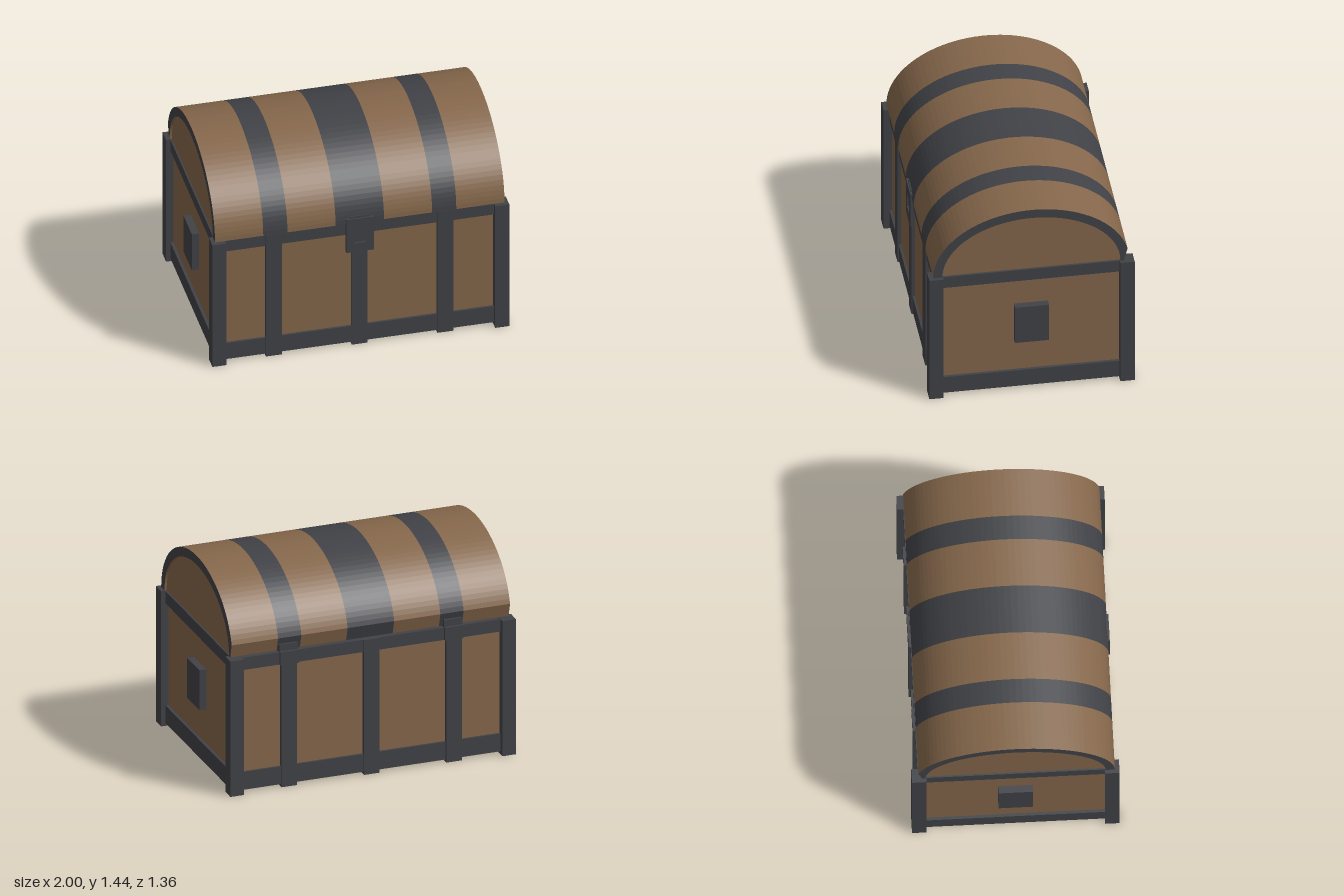
import * as THREE from 'three';

const wood = new THREE.MeshStandardMaterial({ color: 0x85674b });
const iron = new THREE.MeshStandardMaterial({ color: 0x414247 });

const LID_Y = 0.96;
const CUT = 0.2; // angle at which the rear of the lid is bevelled off

// Box given by its min / max extents
function box(parent, name, mat, [x0, x1], [y0, y1], [z0, z1]) {
  const mesh = new THREE.Mesh(new THREE.BoxGeometry(x1 - x0, y1 - y0, z1 - z0), mat);
  mesh.position.set((x0 + x1) / 2, (y0 + y1) / 2, (z0 + z1) / 2);
  mesh.name = name;
  parent.add(mesh);
}

// Points of an elliptical arch in (z, y), from front to back
function arch(a, b, end, n = 44) {
  return Array.from({ length: n + 1 }, (_, i) => {
    const t = (end * i) / n;
    return new THREE.Vector2(a * Math.cos(t), LID_Y + b * Math.sin(t));
  });
}

// Extrude a (z, y) profile along x from x0 to x1
function extrudeX(parent, name, points, x0, x1, mat) {
  const geo = new THREE.ExtrudeGeometry(new THREE.Shape(points), { depth: x1 - x0, bevelEnabled: false });
  geo.rotateY(-Math.PI / 2).translate(x1, 0, 0);
  const mesh = new THREE.Mesh(geo, mat);
  mesh.name = name;
  parent.add(mesh);
}

function createLid() {
  const lid = new THREE.Group();
  lid.name = 'lid';
  const outer = [...arch(0.65, 0.48, Math.PI - CUT), new THREE.Vector2(-0.61, LID_Y)];

  // Alternating planks and iron bands, flush with each other
  const stops = [-0.96, -0.65, -0.487, -0.163, 0.163, 0.487, 0.65, 0.96];
  for (let i = 0; i < stops.length - 1; i++) {
    const isBand = i % 2 === 1;
    extrudeX(lid, isBand ? 'lidBand' : 'lidPlank', outer, stops[i], stops[i + 1], isBand ? iron : wood);
  }

  // End rims: iron face, wooden outside, framing the slightly recessed end panel
  const rim = [...outer, ...arch(0.59, 0.415, Math.PI).reverse()];
  extrudeX(lid, 'lidRimLeft', rim, 0.96, 0.975, [iron, wood]);
  extrudeX(lid, 'lidRimRight', rim, -0.975, -0.96, [iron, wood]);
  return lid;
}

function createBody() {
  const body = new THREE.Group();
  body.name = 'body';
  box(body, 'woodenBox', wood, [-0.95, 0.95], [0.012, 0.953], [-0.625, 0.625]);

  // Corner posts
  for (const sx of [-1, 1]) {
    for (const sz of [-1, 1]) {
      box(body, 'cornerPost', iron,
        sx > 0 ? [0.905, 1] : [-1, -0.905], [0, 0.96],
        sz > 0 ? [0.585, 0.68] : [-0.68, -0.585]);
    }
  }

  // Horizontal bands on all four walls
  for (const [name, y] of [['lowerBand', [0.02, 0.145]], ['upperBand', [0.87, 0.957]]]) {
    box(body, name + 'Front', iron, [-0.92, 0.92], y, [0.6, 0.64]);
    box(body, name + 'Back', iron, [-0.92, 0.92], y, [-0.64, -0.6]);
    box(body, name + 'Left', iron, [0.93, 0.97], y, [-0.6, 0.6]);
    box(body, name + 'Right', iron, [-0.97, -0.93], y, [-0.6, 0.6]);
  }

  // Upright straps, front and back
  for (const x of [-0.577, 0, 0.577]) {
    const span = [x - 0.054, x + 0.054];
    box(body, 'frontStrap', iron, span, [0.002, 0.957], [0.6, 0.648]);
    box(body, 'backStrap', iron, span, [0.002, 0.959], [-0.653, -0.6]);
  }

  // Handle blocks on the ends
  box(body, 'handleLeft', iron, [0.94, 0.999], [0.39, 0.675], [-0.113, 0.113]);
  box(body, 'handleRight', iron, [-0.999, -0.94], [0.39, 0.675], [-0.113, 0.113]);
  return body;
}

function createLock() {
  const lock = new THREE.Group();
  lock.name = 'lock';
  // Plate with a square keyhole recess
  const plate = new THREE.Shape([[-0.093, 0.74], [0.093, 0.74], [0.093, 1], [-0.093, 1]]
    .map(([x, y]) => new THREE.Vector2(x, y)));
  plate.holes.push(new THREE.Path([[-0.04, 0.81], [-0.04, 0.91], [0.04, 0.91], [0.04, 0.81]]
    .map(([x, y]) => new THREE.Vector2(x, y))));
  const mesh = new THREE.Mesh(new THREE.ExtrudeGeometry(plate, { depth: 0.025, bevelEnabled: false }), iron);
  mesh.position.z = 0.637;
  mesh.name = 'lockPlate';
  lock.add(mesh);
  box(lock, 'lockBacking', iron, [-0.07, 0.07], [0.78, 0.96], [0.62, 0.651]);
  box(lock, 'lockLowerTab', iron, [-0.05, 0.05], [0.712, 0.745], [0.63, 0.658]);
  box(lock, 'lockUpperTab', iron, [-0.065, 0.065], [0.99, 1.015], [0.63, 0.653]);
  return lock;
}

function createHinges() {
  const hinges = new THREE.Group();
  hinges.name = 'hinges';
  for (const x of [-0.577, 0.577]) {
    box(hinges, 'hingeBase', iron, [x - 0.065, x + 0.065], [0.87, 0.962], [-0.657, -0.61]);
    box(hinges, 'hingeLeaf', iron, [x - 0.065, x + 0.065], [0.95, 1.01], [-0.638, -0.6]);
  }
  return hinges;
}

export function createModel() {
  const model = new THREE.Group();
  model.name = 'chest';
  model.add(createBody(), createLid(), createLock(), createHinges());
  return model;
}
